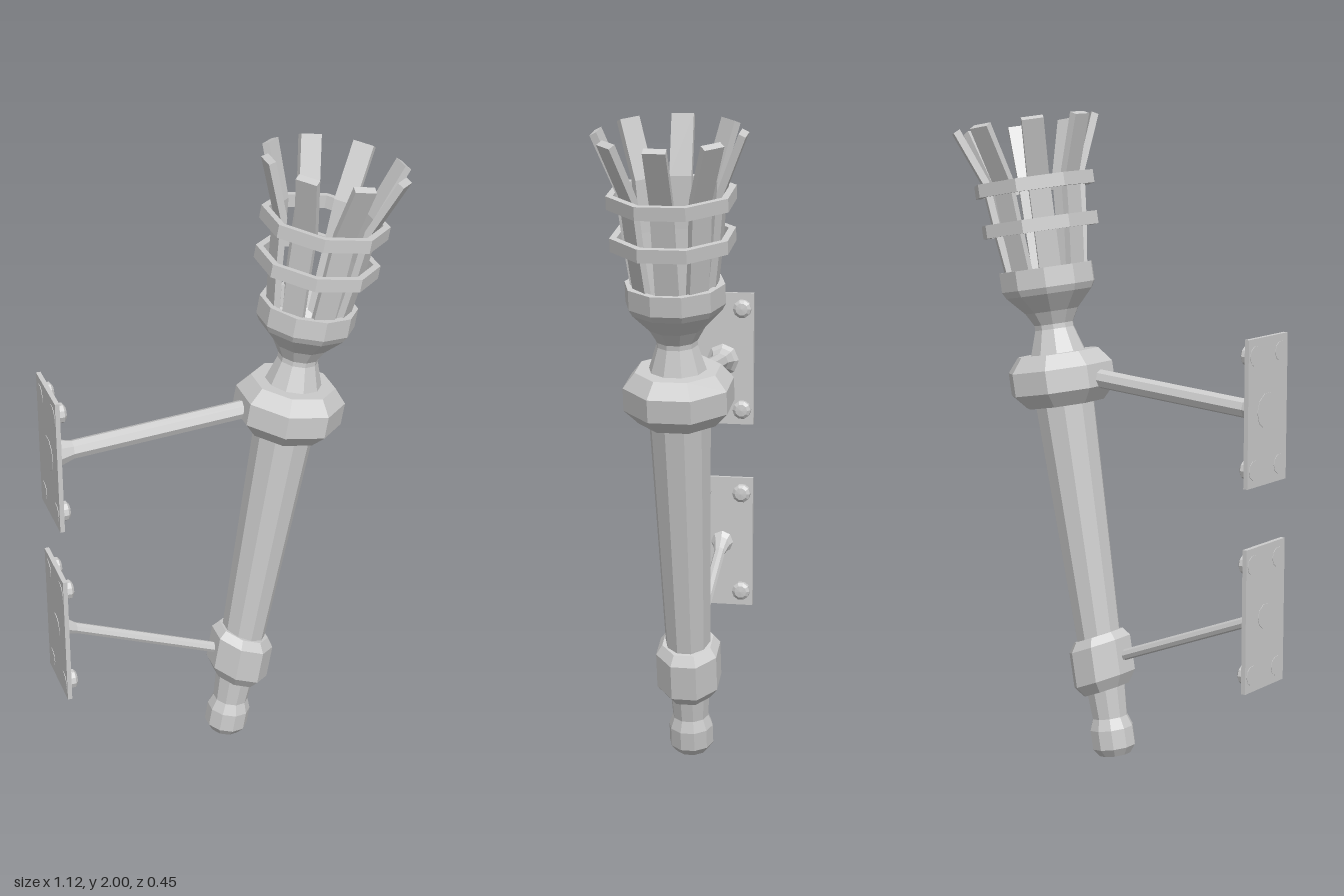
import * as THREE from 'three';

const material = new THREE.MeshStandardMaterial({ color: 0xcccccc, flatShading: true });
const V = (pts) => pts.map(([x, y]) => new THREE.Vector2(x, y));

function add(parent, name, geometry) {
  const mesh = new THREE.Mesh(geometry, material);
  mesh.name = name;
  parent.add(mesh);
  return mesh;
}

// Lathe with [radius, height] points; flat faces point along x and z for 8 sides
function turned(profile, sides, scale = 1) {
  const pts = profile.map(([r, y]) => [r * scale, y]);
  return new THREE.LatheGeometry(V(pts), sides, sides === 8 ? Math.PI / 8 : 0);
}

const octagon = 1 / Math.cos(Math.PI / 8); // apothem to corner radius

// Bar whose round sections stand upright at [x, y, radius] stations
function bar(stations) {
  const g = new THREE.CylinderGeometry(1, 1, 1, 8, stations.length - 1, true);
  g.rotateZ(Math.PI / 2);
  const p = g.attributes.position;
  for (let i = 0; i < p.count; i++) {
    const row = Math.round((p.getX(i) + 0.5) * (stations.length - 1));
    const [x, y, r] = stations[row];
    p.setXYZ(i, x, y + p.getY(i) * r, p.getZ(i) * r);
  }
  g.computeVertexNormals();
  return g;
}

function bracket(name, y, stations, discRadius) {
  const group = new THREE.Group();
  group.name = name;
  add(group, 'wallPlate', new THREE.BoxGeometry(0.014, 0.435, 0.205)).position.set(-0.556, y, 0);
  // Bolts pass through the plate, with bevelled heads in front
  const head = [[0, -0.0155], [0.03, -0.0155], [0.03, 0.017], [0.02, 0.025], [0, 0.027]];
  for (const sy of [-1, 1]) for (const sz of [-1, 1]) {
    const bolt = add(group, 'bolt', turned(head, 10));
    bolt.rotation.z = -Math.PI / 2;
    bolt.position.set(-0.549, y + sy * 0.167, sz * 0.066);
  }
  const disc = add(group, 'armEndDisc', new THREE.CylinderGeometry(discRadius, discRadius, 0.012, 10));
  disc.rotation.z = Math.PI / 2;
  disc.position.set(-0.5585, y, 0);
  add(group, 'arm', bar(stations));
  return group;
}

export function createModel() {
  const model = new THREE.Group();
  model.name = 'wallTorch';

  // Tilted torch, built along its own y axis
  const torch = new THREE.Group();
  torch.name = 'torch';
  torch.position.set(-0.013, 0.01, 0);
  torch.rotation.z = -0.175;
  model.add(torch);

  add(torch, 'shaft', turned([
    [0, 0.012], [0.042, 0], [0.05, 0], [0.069, 0.025], [0.069, 0.085], [0.056, 0.12],
    [0.062, 0.21], [0.07, 0.37], [0.094, 1.13], [0.094, 1.25],
  ], 10));

  // Lower collar leans so that it lines up with its arm
  const lower = turned([[0.055, 0.205], [0.07, 0.205], [0.094, 0.24], [0.094, 0.35], [0.075, 0.378], [0.05, 0.378]], 8, octagon);
  const p = lower.attributes.position;
  for (let i = 0; i < p.count; i++) p.setY(i, p.getY(i) - 0.22 * p.getX(i));
  lower.computeVertexNormals();
  add(torch, 'lowerCollar', lower);

  add(torch, 'upperCollar', turned([
    [0.08, 1.11], [0.115, 1.11], [0.155, 1.155], [0.155, 1.225], [0.12, 1.27], [0.06, 1.27],
  ], 8, octagon));

  // Waisted neck opening into a hollow cup
  add(torch, 'cup', turned([
    [0.09, 1.26], [0.062, 1.345], [0.062, 1.36], [0.085, 1.4], [0.138, 1.455], [0.149, 1.475],
    [0.149, 1.535], [0.128, 1.535], [0.112, 1.47], [0.055, 1.425], [0, 1.425],
  ], 10));

  // Basket hoops
  [[1.665, 0.172], [1.79, 0.177]].forEach(([t, r]) => {
    const a = r - 0.02, h = 0.02;
    add(torch, 'hoop', turned([[a, t - h], [r, t - h], [r, t + h], [a, t + h], [a, t - h]], 8, octagon));
  });

  // Flared slats
  const slat = new THREE.ExtrudeGeometry(new THREE.Shape(V([
    [0.095, 1.45], [0.115, 1.45], [0.142, 1.66], [0.157, 1.81], [0.224, 1.975],
    [0.204, 1.985], [0.137, 1.815], [0.122, 1.66],
  ])), { depth: 0.066, bevelEnabled: false });
  slat.translate(0, 0, -0.033);
  for (let i = 0; i < 8; i++) add(torch, 'slat', slat).rotation.y = (i * Math.PI) / 4;

  // Wall brackets
  model.add(bracket('upperBracket', 1.16, [
    [-0.55, 1.155, 0.055], [-0.535, 1.155, 0.042], [-0.49, 1.158, 0.029], [0.1, 1.198, 0.029],
  ], 0.055));
  model.add(bracket('lowerBracket', 0.545, [
    [-0.55, 0.542, 0.038], [-0.535, 0.535, 0.027], [-0.5, 0.517, 0.018], [0, 0.317, 0.018],
  ], 0.038));

  return model;
}
